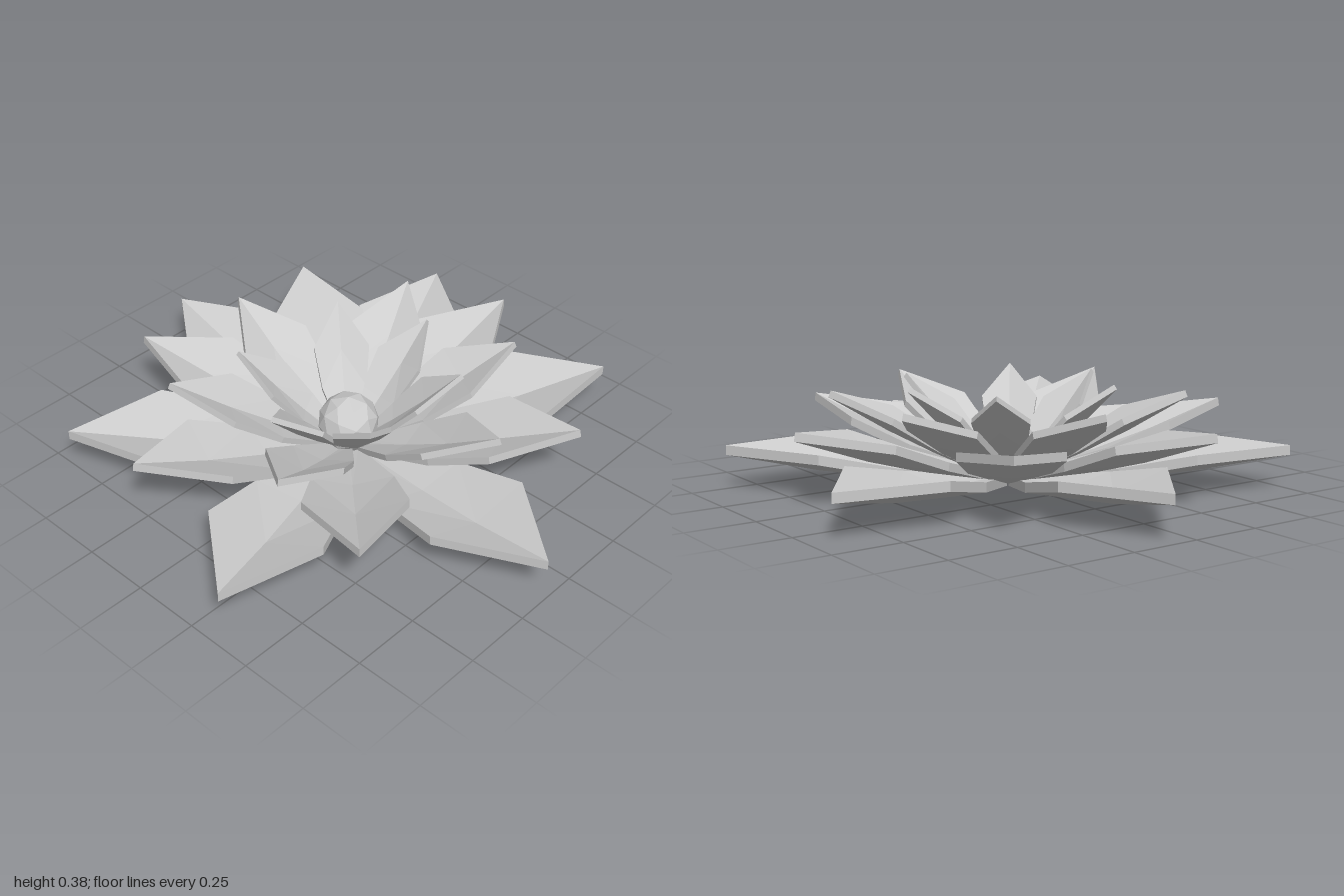
import * as THREE from 'three';

// Petal cross-sections from base to tip: distance, half width, keel height, edge height
const SECTIONS = [
  [0.07, 0.04, 0.004, 0.01],
  [0.4, 0.17, 0.028, 0.065],
  [0.67, 0.212, 0.062, 0.125],
  [1.0, 0, 0.125, 0.125],
];
const THICKNESS = 0.035;

// Whorls from the outside in: size, upward pitch, width factor, petal directions (degrees from +x toward +z)
const WHORLS = [
  { name: 'outerPetal', size: 1.0, pitch: 0, width: 1, yaws: [-85, -22, 30, 97, 161, 221] },
  { name: 'secondPetal', size: 0.862, pitch: 9, width: 0.98, yaws: [-55.7, 3, 63, 134.5, 197, 250] },
  { name: 'thirdPetal', size: 0.71, pitch: 20, width: 0.95, yaws: [-84.5, -22, 30, 83.5, 158, 220.5] },
  { name: 'innerPetal', size: 0.545, pitch: 35, width: 0.88, yaws: [-49, 3, 56, 126.5, 177, 237.5] },
];

// Closed, keeled petal pointing along +x
function petalGeometry(width) {
  const rings = SECTIONS.map(([x, w, keel, edge]) => {
    const hw = w * width;
    return [
      [x, edge, -hw], [x, keel, 0], [x, edge, hw],
      [x, edge + THICKNESS, hw], [x, keel + THICKNESS, 0], [x, edge + THICKNESS, -hw],
    ];
  });
  const pos = [];
  const same = (p, q) => p.every((v, i) => v === q[i]);
  const tri = (a, b, c) => {
    if (!same(a, b) && !same(b, c) && !same(a, c)) pos.push(...a, ...b, ...c);
  };
  for (let i = 0; i < rings.length - 1; i++) {
    for (let j = 0; j < 6; j++) {
      const k = (j + 1) % 6;
      const a = rings[i][j], b = rings[i][k], c = rings[i + 1][k], d = rings[i + 1][j];
      // mirrored diagonals keep both halves alike
      if (j % 3 === 1) { tri(a, d, b); tri(b, d, c); }
      else { tri(a, d, c); tri(a, c, b); }
    }
  }
  // base cap
  const r = rings[0];
  for (const [a, b, c] of [[0, 1, 4], [0, 4, 5], [1, 2, 3], [1, 3, 4]]) tri(r[a], r[b], r[c]);

  const geo = new THREE.BufferGeometry();
  geo.setAttribute('position', new THREE.Float32BufferAttribute(pos, 3));
  geo.computeVertexNormals();
  return geo;
}

export function createModel() {
  const flower = new THREE.Group();
  flower.name = 'waterLily';
  const paleGrey = new THREE.MeshStandardMaterial({ color: 0xcccccc, flatShading: true });
  paleGrey.name = 'paleGrey';

  // Four whorls of petals
  for (const { name, size, pitch, width, yaws } of WHORLS) {
    const geo = petalGeometry(width);
    const whorl = new THREE.Group();
    whorl.name = name + 's';
    yaws.forEach((yaw) => {
      const petal = new THREE.Mesh(geo, paleGrey);
      petal.name = name;
      petal.scale.setScalar(size);
      petal.rotation.set(0, THREE.MathUtils.degToRad(-yaw), THREE.MathUtils.degToRad(pitch), 'YZX');
      whorl.add(petal);
    });
    flower.add(whorl);
  }

  // Faceted centre
  const centre = new THREE.Mesh(new THREE.IcosahedronGeometry(0.112, 1), paleGrey);
  centre.name = 'centre';
  centre.position.y = 0.125;
  flower.add(centre);

  flower.position.y = -0.004;
  const root = new THREE.Group();
  root.name = 'flower';
  root.add(flower);
  return root;
}
